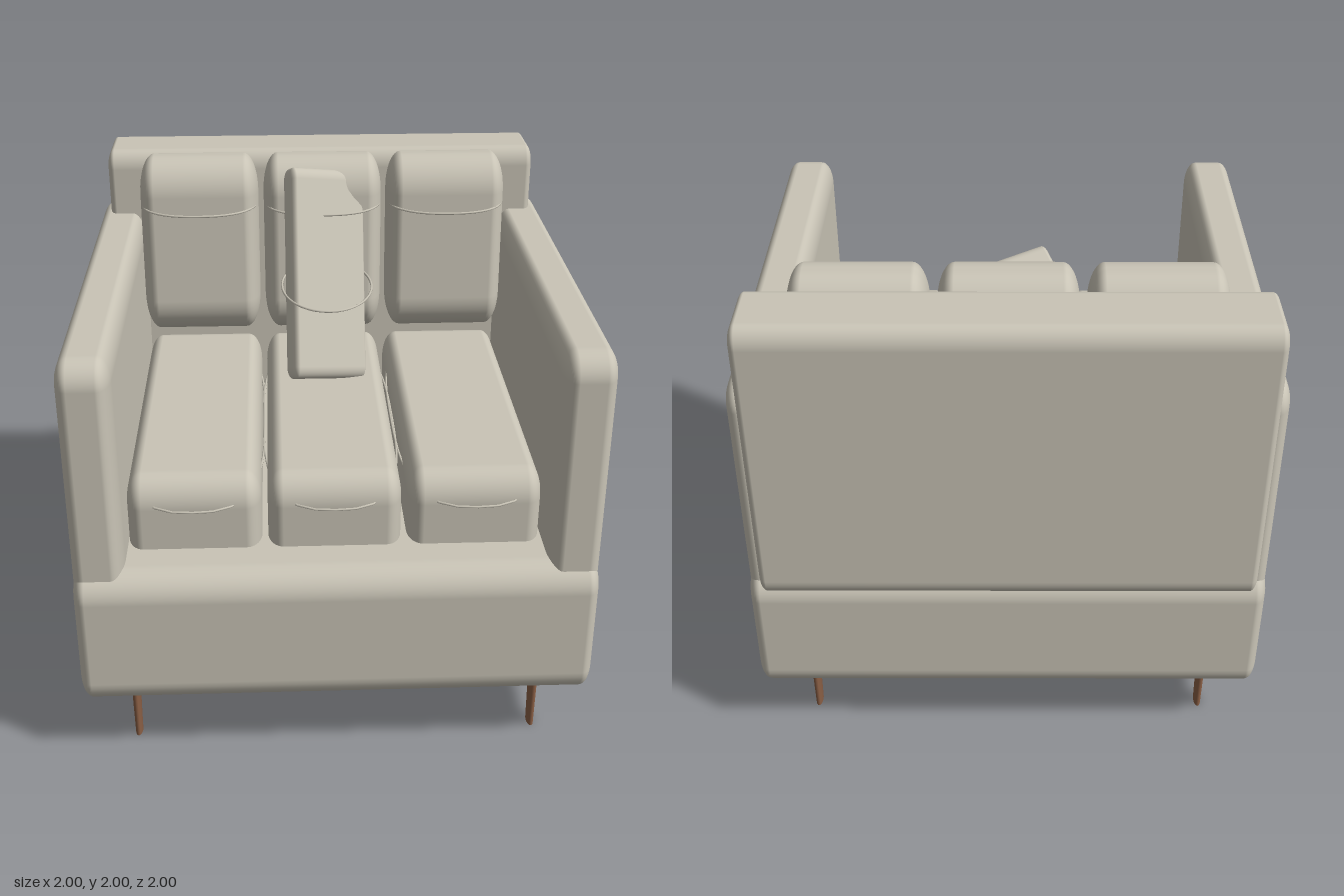
import * as THREE from 'three';
import { RoundedBoxGeometry } from 'three/addons/geometries/RoundedBoxGeometry.js';

const fabric = new THREE.MeshStandardMaterial({ color: 0xc9c4b6 });
const wood = new THREE.MeshStandardMaterial({ color: 0x8a5f45 });
const pipingMaterial = new THREE.MeshStandardMaterial({ color: 0xc9c4b6 });

// Box from min to max corner, with its own edge radius along each axis
function softBox(name, min, max, radii) {
  const size = max.map((v, i) => v - min[i]);
  const geometry = new RoundedBoxGeometry(
    size[0] / radii[0], size[1] / radii[1], size[2] / radii[2], 5, 1);
  geometry.scale(...radii);
  const mesh = new THREE.Mesh(geometry, fabric);
  mesh.name = name;
  mesh.position.set(...max.map((v, i) => (v + min[i]) / 2));
  return mesh;
}

// Thin horizontal cord: a closed superellipse around a cushion
function piping(name, x, y, z, rx, rz, power) {
  const points = [];
  const bend = (v) => Math.sign(v) * Math.abs(v) ** (2 / power);
  for (let i = 0; i < 24; i++) {
    const a = (i / 24) * Math.PI * 2;
    points.push(new THREE.Vector3(rx * bend(Math.cos(a)), 0, rz * bend(Math.sin(a))));
  }
  const curve = new THREE.CatmullRomCurve3(points, true);
  const mesh = new THREE.Mesh(new THREE.TubeGeometry(curve, 48, 0.005, 6, true), pipingMaterial);
  mesh.name = name;
  mesh.position.set(x, y, z);
  return mesh;
}

export function createModel() {
  const model = new THREE.Group();
  model.name = 'armchair';

  // Frame
  model.add(softBox('base', [-1, 0.27, -0.98], [1, 0.85, 1], [0.05, 0.11, 0.11]));
  model.add(softBox('backrest', [-0.95, 0.79, -1], [0.945, 1.985, -0.69], [0.03, 0.08, 0.06]));
  model.add(softBox('leftArm', [0.8, 0.35, -0.94], [1, 1.705, 0.96], [0.05, 0.1, 0.1]));
  model.add(softBox('rightArm', [-1, 0.35, -0.94], [-0.8, 1.705, 0.96], [0.05, 0.1, 0.1]));

  // Three seat cushions and three back cushions, each with piping
  for (const x of [-0.541, -0.002, 0.537]) {
    const half = 0.258;
    model.add(softBox('seatCushion', [x - half, 0.7, -0.7], [x + half, 1.14, 0.78], [0.06, 0.12, 0.1]));
    model.add(piping('seatPiping', x, 1.035, 0.05, 0.272, 0.775, 3));

    const cushion = softBox('backCushion', [x - half, 1.215, -0.73], [x + half, 2.0, -0.43], [0.065, 0.16, 0.14]);
    cushion.rotation.x = -0.06;
    model.add(cushion);
    model.add(piping('backPiping', x, 1.795, -0.565, 0.25, 0.205, 2.3));
  }

  // Loose pillow, turned and leaning on the middle cushion
  const pillow = softBox('throwPillow', [-0.17, -0.45, -0.06], [0.17, 0.45, 0.06], [0.02, 0.05, 0.04]);
  pillow.position.set(0, 1.545, -0.31);
  pillow.rotation.set(-0.45, 0.4, 0);
  model.add(pillow);
  model.add(piping('pillowPiping', 0.003, 1.54, -0.2, 0.19, 0.3, 2));

  // Flat oval tapering legs
  const legGeometry = new THREE.CylinderGeometry(0.048, 0.038, 0.3, 16);
  legGeometry.scale(0.38, 1, 1);
  for (const x of [-0.803, 0.8]) {
    for (const z of [-0.78, 0.805]) {
      const leg = new THREE.Mesh(legGeometry, wood);
      leg.name = 'leg';
      leg.position.set(x, 0.15, z);
      model.add(leg);
    }
  }
  return model;
}
